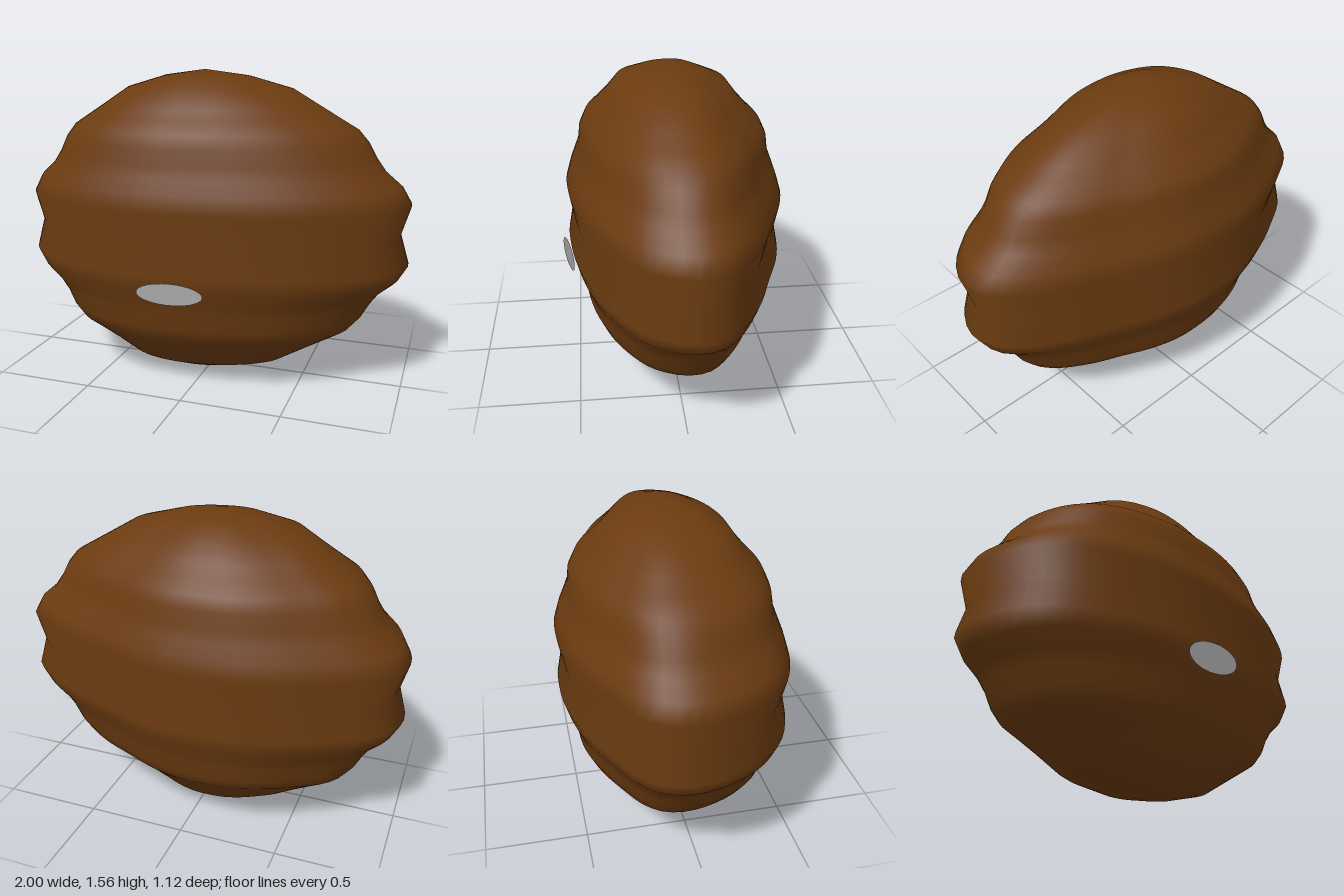
import * as THREE from 'three';
import { mergeVertices } from 'three/addons/utils/BufferGeometryUtils.js';

const MID = 0.78;      // height of the widest groove
const CENTRE_X = -0.04; // x of both poles
const SEGMENTS = 72;

// Egg-shaped plan outline (x, z), clockwise from above
const OUTLINE = [
  [-1, -0.08], [-0.97, -0.2], [-0.88, -0.3], [-0.7, -0.4], [-0.5, -0.49], [-0.3, -0.545],
  [-0.1, -0.56], [0.1, -0.55], [0.3, -0.5], [0.5, -0.42], [0.7, -0.34], [0.9, -0.22],
  [0.98, -0.13], [1, -0.03], [0.98, 0.06], [0.9, 0.19], [0.8, 0.27], [0.6, 0.38],
  [0.4, 0.45], [0.2, 0.495], [0, 0.52], [-0.2, 0.53], [-0.4, 0.51], [-0.6, 0.46],
  [-0.78, 0.37], [-0.9, 0.24], [-0.98, 0.06],
];

// Upper half profile: height above the middle, outline scale in x and in z
const PROFILE = [
  [0, 0.957, 0.948], [0.15, 1, 1], [0.23, 0.955, 0.957], [0.3, 0.875, 0.91], [0.365, 0.83, 0.865],
  [0.44, 0.79, 0.85], [0.5, 0.74, 0.8], [0.555, 0.65, 0.7], [0.61, 0.56, 0.61],
  [0.69, 0.43, 0.5], [0.75, 0.22, 0.27], [0.78, 0, 0],
];

function createBodyGeometry() {
  const curve = new THREE.CatmullRomCurve3(OUTLINE.map(([x, z]) => new THREE.Vector3(x, 0, z)), true);
  const plan = curve.getSpacedPoints(SEGMENTS).slice(0, SEGMENTS);
  // The lower half mirrors the upper half
  const lower = PROFILE.slice(1).reverse().map(([y, sx, sz]) => [-y, sx, sz]);
  const rings = [...lower, ...PROFILE];
  const positions = [];
  const indices = [];
  rings.forEach(([y, sx, sz], j) => {
    for (let i = 0; i < SEGMENTS; i++) {
      positions.push(CENTRE_X + (plan[i].x - CENTRE_X) * sx, MID + y, plan[i].z * sz);
      if (j === rings.length - 1) continue;
      const next = (i + 1) % SEGMENTS;
      const a = j * SEGMENTS + i, b = j * SEGMENTS + next;
      const c = a + SEGMENTS, d = b + SEGMENTS;
      if (j > 0) indices.push(a, c, b);
      if (j < rings.length - 2) indices.push(b, c, d);
    }
  });
  const geometry = new THREE.BufferGeometry();
  geometry.setAttribute('position', new THREE.Float32BufferAttribute(positions, 3));
  geometry.setIndex(indices);
  const merged = mergeVertices(geometry);
  merged.computeVertexNormals();
  return merged;
}

export function createModel() {
  const brown = new THREE.MeshStandardMaterial({ color: 0x6b3b10 });
  brown.name = 'brown';
  const paleGrey = new THREE.MeshStandardMaterial({ color: 0xcccccc, side: THREE.DoubleSide });
  paleGrey.name = 'paleGrey';

  const group = new THREE.Group();

  // Ridged egg-like body
  const body = new THREE.Mesh(createBodyGeometry(), brown);
  body.name = 'ridgedBody';
  group.add(body);

  // Oval plate in front, tilted to follow the lower slope
  const plate = new THREE.Mesh(new THREE.CircleGeometry(1, 40), paleGrey);
  plate.name = 'ovalPlate';
  plate.scale.set(0.163, 0.067, 1);
  plate.rotation.set(0.38, 0.06, 0);
  plate.position.set(-0.037, 0.55, 0.535);
  group.add(plate);

  return group;
}
